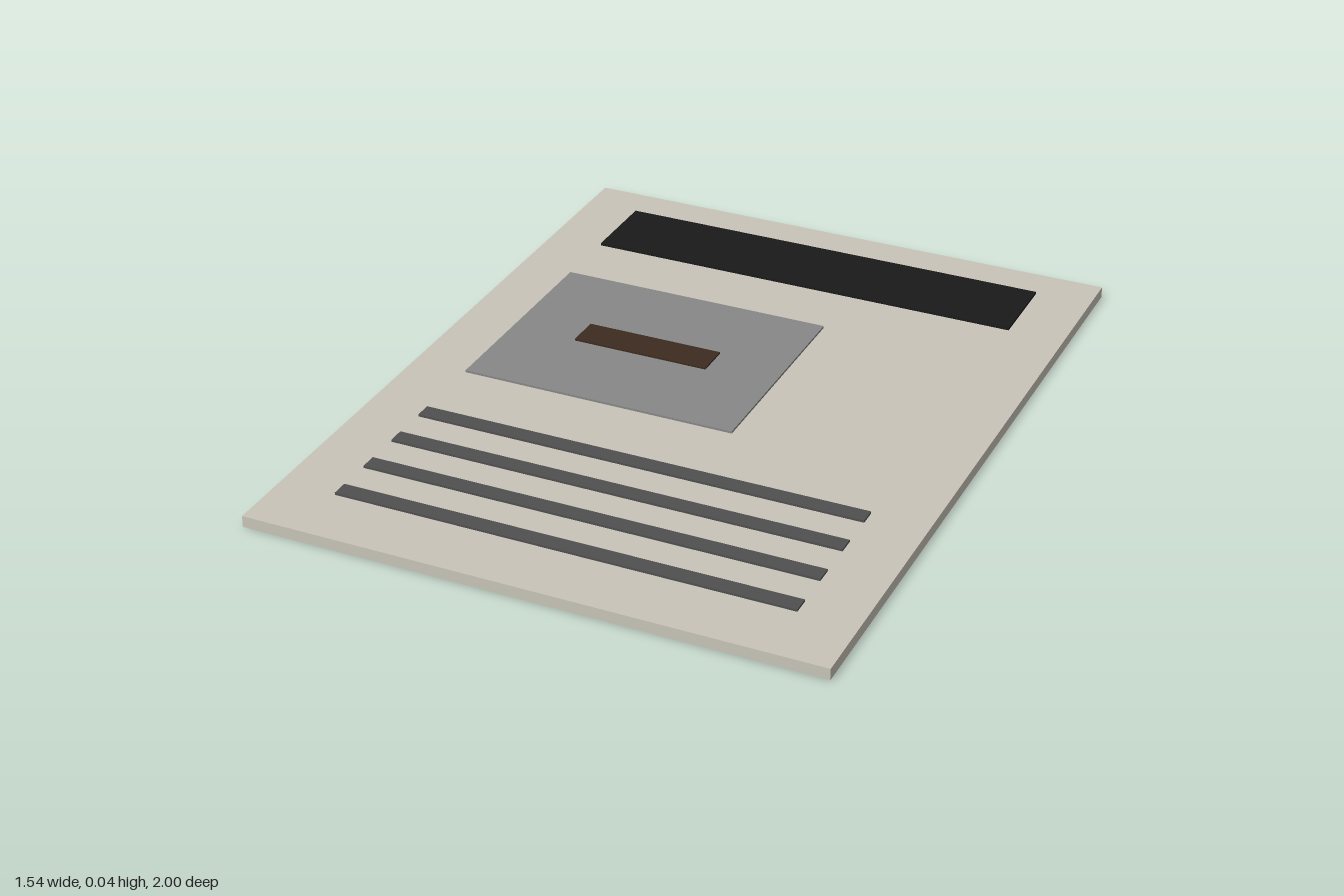
import * as THREE from 'three';

export function createModel() {
  const group = new THREE.Group();

  // Box given by its x, y and z ranges
  function slab(name, color, [x0, x1], [y0, y1], [z0, z1]) {
    const mesh = new THREE.Mesh(
      new THREE.BoxGeometry(x1 - x0, y1 - y0, z1 - z0),
      new THREE.MeshStandardMaterial({ color })
    );
    mesh.position.set((x0 + x1) / 2, (y0 + y1) / 2, (z0 + z1) / 2);
    mesh.name = name;
    group.add(mesh);
  }

  const top = 0.031;
  const column = [-0.614, 0.614];

  // Page lying flat
  slab('page', 0xc8c4b8, [-0.769, 0.769], [0, top], [-1, 1]);

  // Headline band and picture with a dark bar across it
  slab('headlineBand', 0x1a1a1a, column, [top, 0.038], [-0.886, -0.656]);
  slab('picture', 0x888888, [-0.614, 0.153], [top, 0.037], [-0.462, 0.153]);
  slab('pictureBar', 0x3d2b1f, [-0.424, -0.04], [0.037, 0.042], [-0.205, -0.111]);

  // Text lines
  for (let i = 0; i < 4; i++) {
    const z = 0.383 + i * 0.139;
    slab('textLine' + (i + 1), 0x505050, column, [top, 0.037], [z - 0.023, z + 0.023]);
  }

  return group;
}
